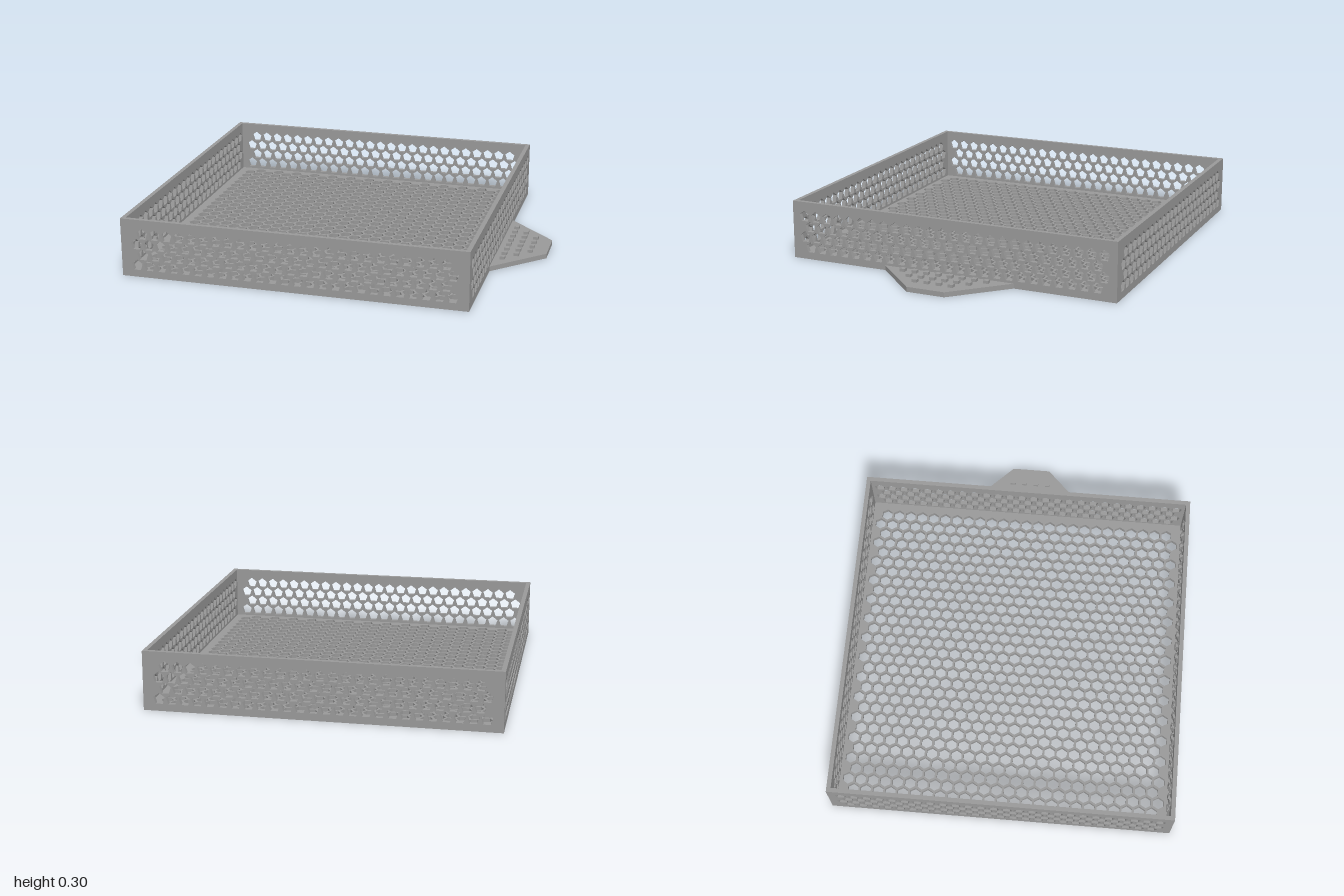
import * as THREE from 'three';

const WALL = 0.022, FLOOR = 0.025, HEIGHT = 0.3;
const CX = -0.125, HALF = 0.875; // tray centre in x and half of its square side

// Regular polygon path used as a hole
function polygonHole(x, y, radius, sides, start) {
  const points = [];
  for (let i = 0; i < sides; i++) {
    const a = start + (i / sides) * Math.PI * 2;
    points.push(new THREE.Vector2(x + radius * Math.cos(a), y + radius * Math.sin(a)));
  }
  return new THREE.Path(points);
}

function rectangle(x0, y0, x1, y1) {
  return new THREE.Shape([[x0, y0], [x1, y0], [x1, y1], [x0, y1]].map(p => new THREE.Vector2(...p)));
}

const extrude = (shape, depth) => new THREE.ExtrudeGeometry(shape, { depth, bevelEnabled: false });

// Upright wall, centred in x, with four staggered rows of pentagon holes
function wallGeometry(length, pitch, longRowFirst) {
  const shape = rectangle(-length / 2, 0, length / 2, HEIGHT);
  for (let row = 0; row < 4; row++) {
    const count = (row % 2 === 0) === longRowFirst ? 26 : 25;
    for (let i = 0; i < count; i++) {
      const x = (i - (count - 1) / 2) * pitch;
      shape.holes.push(polygonHole(x, 0.061 + row * 0.0543, 0.03, 5, Math.PI / 2));
    }
  }
  return extrude(shape, WALL).translate(0, 0, -WALL / 2);
}

// Floor with a honeycomb of hexagon holes
function floorGeometry() {
  const h = HALF - WALL, pitch = 0.0647, step = 0.056;
  const shape = rectangle(-h, -h, h, h);
  for (let col = 0; col < 29; col++) {
    const count = col % 2 === 0 ? 25 : 26;
    for (let i = 0; i < count; i++) {
      shape.holes.push(polygonHole((col - 14) * step, (i - (count - 1) / 2) * pitch, 0.031, 6, 0));
    }
  }
  return extrude(shape, FLOOR).rotateX(-Math.PI / 2);
}

export function createModel() {
  const model = new THREE.Group();
  model.name = 'perforatedTray';
  const grey = new THREE.MeshStandardMaterial({ color: 0x999999 });
  grey.name = 'grey';

  const add = (name, geometry, x, y, z, parent = model) => {
    const mesh = new THREE.Mesh(geometry, grey);
    mesh.name = name;
    mesh.position.set(x, y, z);
    parent.add(mesh);
    return mesh;
  };

  add('floor', floorGeometry(), CX, 0, 0);

  // Walls
  const longWall = wallGeometry(HALF * 2, 0.0636, true);
  const sideWall = wallGeometry((HALF - WALL) * 2, 0.0647, false).rotateY(Math.PI / 2);
  const offset = HALF - WALL / 2;
  add('frontWall', longWall, CX, 0, offset);
  add('backWall', longWall, CX, 0, -offset);
  add('leftWall', sideWall, CX + offset, 0, 0);
  add('rightWall', sideWall, CX - offset, 0, 0);

  // Tapered handle tab
  const tab = new THREE.Shape([[0.75, -0.35], [1, -0.1], [1, 0.1], [0.75, 0.35]].map(p => new THREE.Vector2(...p)));
  add('handleTab', extrude(tab, FLOOR).rotateX(-Math.PI / 2), 0, 0, 0);

  // Raised grip studs, fewer per column toward the tip
  const studs = new THREE.Group();
  studs.name = 'gripStuds';
  model.add(studs);
  const stud = new THREE.BoxGeometry(0.026, 0.016, 0.026);
  [8, 6, 4].forEach((count, col) => {
    for (let i = 0; i < count; i++) {
      add('gripStud', stud, 0.793 + col * 0.061, 0.032, (i - (count - 1) / 2) * 0.0645, studs);
    }
  });

  return model;
}
